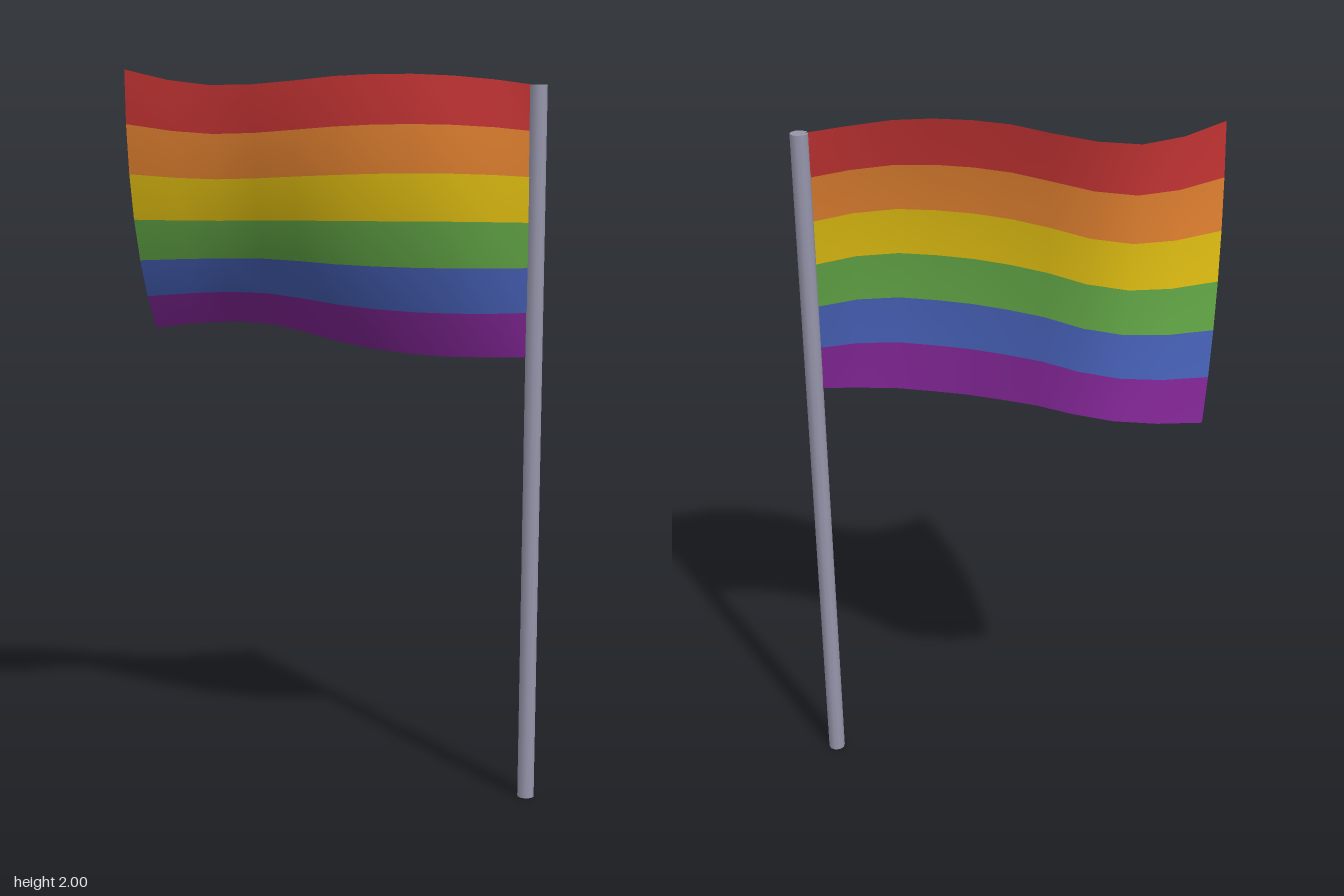
import * as THREE from 'three';

const mat = (name, color, side = THREE.FrontSide) => {
  const m = new THREE.MeshStandardMaterial({ color, side });
  m.name = name;
  return m;
};

// Cloth columns from free end to pole: [xTop, xBottom, yTop, yBottom, zTop, zBottom, yBulge, zBulge]
const COLUMNS = [
  [-0.548, -0.543, 2.000, 1.300, 0.182, -0.129, -0.040, 0.044],
  [-0.448, -0.430, 1.977, 1.310, 0.108, -0.173, -0.037, 0.043],
  [-0.347, -0.320, 1.966, 1.315, 0.062, -0.186, -0.035, 0.047],
  [-0.235, -0.210, 1.967, 1.310, 0.064, -0.152, -0.031, 0.048],
  [-0.115, -0.108, 1.975, 1.295, 0.090, -0.087, -0.026, 0.062],
  [-0.007, -0.007, 1.984, 1.275, 0.119, -0.028, -0.021, 0.060],
  [0.096, 0.096, 1.988, 1.260, 0.127, 0.019, -0.015, 0.058],
  [0.200, 0.200, 1.988, 1.250, 0.125, 0.046, -0.010, 0.057],
  [0.303, 0.303, 1.984, 1.245, 0.108, 0.059, -0.006, 0.060],
  [0.414, 0.412, 1.976, 1.243, 0.062, 0.049, -0.003, 0.052],
  [0.520, 0.520, 1.963, 1.243, 0.029, 0.029, 0, 0],
];

const STRIPES = [
  ['red', 0xb83030], ['orange', 0xd2782c], ['yellow', 0xd0b010],
  ['green', 0x5a9940], ['blue', 0x4058a8], ['purple', 0x762288],
];

// Waving sheet, one row of quads and one material group per stripe
function flagGeometry() {
  const rows = STRIPES.length, cols = COLUMNS.length;
  const positions = [], index = [];
  const geo = new THREE.BufferGeometry();
  for (let j = 0; j <= rows; j++) {
    const v = j / rows, sag = 4 * v * (1 - v);
    COLUMNS.forEach(([xt, xb, yt, yb, zt, zb, dy, dz], i) => {
      const dx = i === 0 ? -0.01 : 0;
      positions.push(
        xt + (xb - xt) * v + dx * sag,
        yt + (yb - yt) * v + dy * sag,
        zt + (zb - zt) * v + dz * sag);
    });
  }
  for (let j = 0; j < rows; j++) {
    geo.addGroup(index.length, (cols - 1) * 6, j);
    for (let i = 0; i < cols - 1; i++) {
      const a = j * cols + i, b = a + cols;
      index.push(a, b, b + 1, a, b + 1, a + 1);
    }
  }
  geo.setAttribute('position', new THREE.Float32BufferAttribute(positions, 3));
  geo.setIndex(index);
  geo.computeVertexNormals();
  return geo;
}

export function createModel() {
  const model = new THREE.Group();
  model.name = 'flagOnPole';

  // Striped cloth
  const flag = new THREE.Mesh(
    flagGeometry(),
    STRIPES.map(([name, color]) => mat(name, color, THREE.DoubleSide)));
  flag.name = 'flag';
  model.add(flag);

  // Pole standing on the ground
  const height = 1.963;
  const pole = new THREE.Mesh(
    new THREE.CylinderGeometry(0.024, 0.024, height, 10),
    mat('poleGrey', 0x9696ac));
  pole.name = 'pole';
  pole.position.set(0.527, height / 2, 0.029);
  model.add(pole);

  return model;
}
